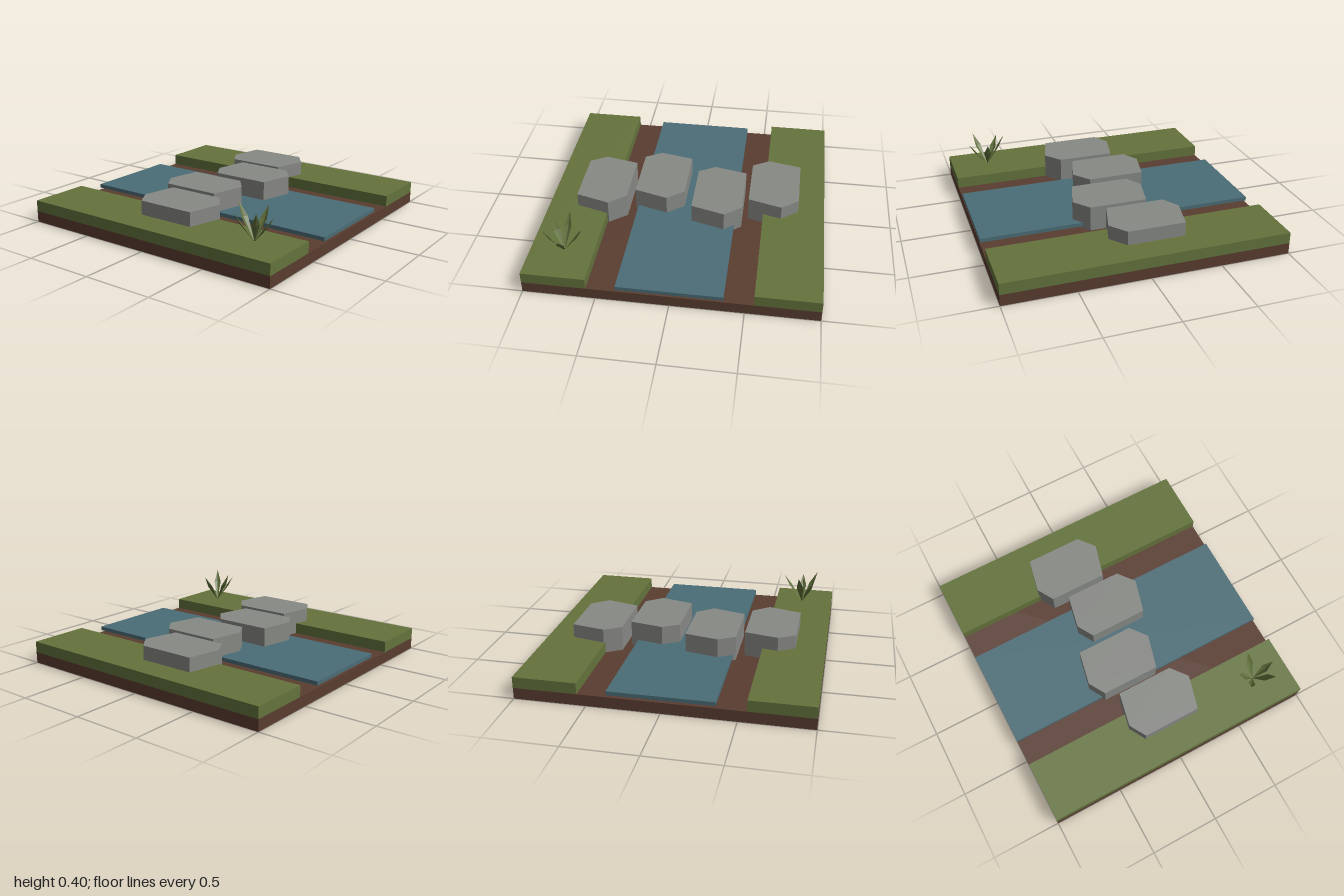
import * as THREE from 'three';

function material(name, color, options = {}) {
  const m = new THREE.MeshStandardMaterial({ color, ...options });
  m.name = name;
  return m;
}

export function createModel() {
  const model = new THREE.Group();
  model.name = 'steppingStoneStream';

  const soil = material('soil brown', 0x5a3d30);
  const grass = material('grass green', 0x64733c);
  const water = material('water blue', 0x4b6d77);
  const stone = material('stone grey', 0x878985);
  const leaf = material('leaf green', 0x5f6f3a, { flatShading: true, side: THREE.DoubleSide });

  function add(parent, name, geometry, mat, x = 0, y = 0, z = 0) {
    const mesh = new THREE.Mesh(geometry, mat);
    mesh.name = name;
    mesh.position.set(x, y, z);
    parent.add(mesh);
    return mesh;
  }

  // Ground slab, two grassy banks and the raised sheet of water
  add(model, 'streamBed', new THREE.BoxGeometry(2, 0.08, 2), soil, 0, 0.04, 0);
  for (const [name, side] of [['rightBank', -1], ['leftBank', 1]]) {
    add(model, name, new THREE.BoxGeometry(0.44, 0.08, 2), grass, side * 0.78, 0.12, 0);
  }
  add(model, 'water', new THREE.BoxGeometry(0.72, 0.028, 2), water, 0, 0.11, 0);

  // Stepping stones: one irregular hexagon, extruded upwards
  const outline = [[-0.18, -0.21], [-0.06, -0.28], [0.18, -0.23], [0.18, 0.18], [0.06, 0.275], [-0.18, 0.21]];
  const hexagon = new THREE.Shape(outline.map(([x, z]) => new THREE.Vector2(x, -z)));
  const stoneGeometry = new THREE.ExtrudeGeometry(hexagon, { depth: 0.18, bevelEnabled: false });
  stoneGeometry.rotateX(-Math.PI / 2);
  const places = [[-0.61, 0.03], [-0.2, -0.08], [0.23, 0.05], [0.63, -0.08]];
  places.forEach(([x, z], i) => add(model, `steppingStone${i + 1}`, stoneGeometry, stone, x, 0.081, z));

  // Tuft of folded, pointed leaves fanning out from one root
  const tuft = new THREE.Group();
  tuft.name = 'grassTuft';
  tuft.position.set(-0.765, 0.16, 0.73);
  model.add(tuft);

  function leafGeometry(tip) {
    const across = new THREE.Vector3(-tip.z, 0, tip.x).normalize().multiplyScalar(0.027);
    const outward = new THREE.Vector3(tip.x, 0, tip.z).normalize().multiplyScalar(0.012);
    const middle = tip.clone().multiplyScalar(0.6);
    const edgeA = middle.clone().add(across);
    const edgeB = middle.clone().sub(across);
    const rib = middle.clone().add(outward);
    const root = new THREE.Vector3();
    const corners = [root, rib, edgeA, rib, tip, edgeA, root, edgeB, rib, rib, edgeB, tip];
    const geometry = new THREE.BufferGeometry().setFromPoints(corners);
    geometry.computeVertexNormals();
    return geometry;
  }

  const tips = [[0.145, 0.21, 0.01], [0.005, 0.185, 0.14], [-0.11, 0.23, 0.085], [-0.09, 0.2, -0.1], [0.025, 0.24, -0.14]];
  tips.forEach((t, i) => add(tuft, `leaf${i + 1}`, leafGeometry(new THREE.Vector3(...t)), leaf));

  return model;
}
